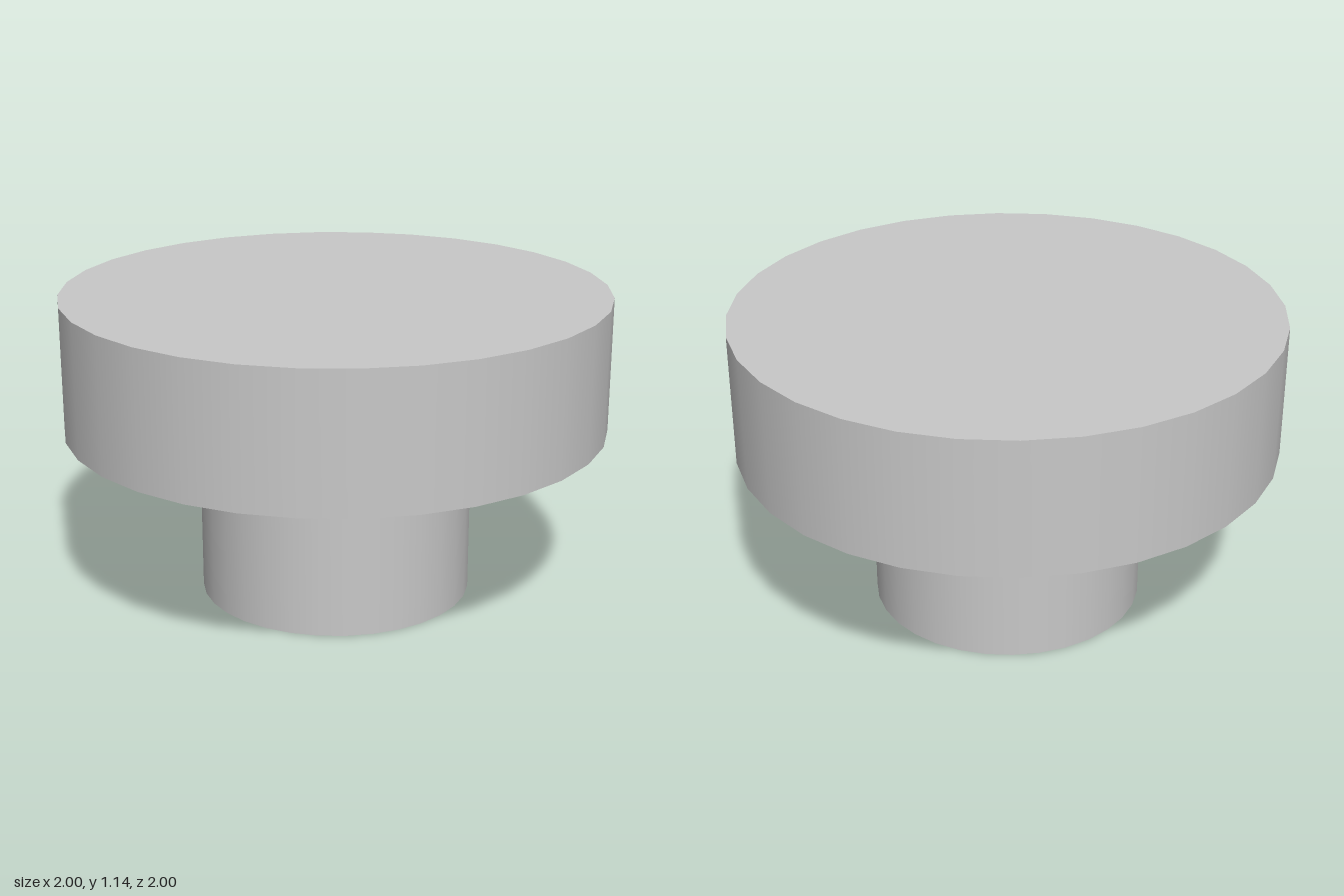
import * as THREE from 'three';
import { mergeGeometries } from 'three/addons/utils/BufferGeometryUtils.js';

const SIDES = 32;

// Turn a profile of [radius, y] points; each segment is its own lathe so corners stay sharp
function turned(profile) {
  const pieces = [];
  for (let i = 0; i < profile.length - 1; i++) {
    const ends = [profile[i], profile[i + 1]].map(([r, y]) => new THREE.Vector2(r, y));
    pieces.push(new THREE.LatheGeometry(ends, SIDES));
  }
  return mergeGeometries(pieces);
}

export function createModel() {
  const group = new THREE.Group();
  group.name = 'flangedKnob';
  const grey = new THREE.MeshStandardMaterial({ color: 0xc8c8c8 });
  grey.name = 'light grey';

  const stemRadius = 0.505, boreRadius = 0.418, shoulder = 0.645, top = 1.14;

  // Wide solid disc: underside around the stem, rim, flat top
  const disc = new THREE.Mesh(turned([[stemRadius, shoulder], [1, shoulder], [1, top], [0, top]]), grey);
  disc.name = 'disc';

  // Hollow stem: bore ceiling, bore wall, end ring, outer wall
  const stem = new THREE.Mesh(turned([
    [0, shoulder], [boreRadius, shoulder], [boreRadius, 0], [stemRadius, 0], [stemRadius, shoulder],
  ]), grey);
  stem.name = 'hollowStem';

  group.add(disc, stem);
  return group;
}
